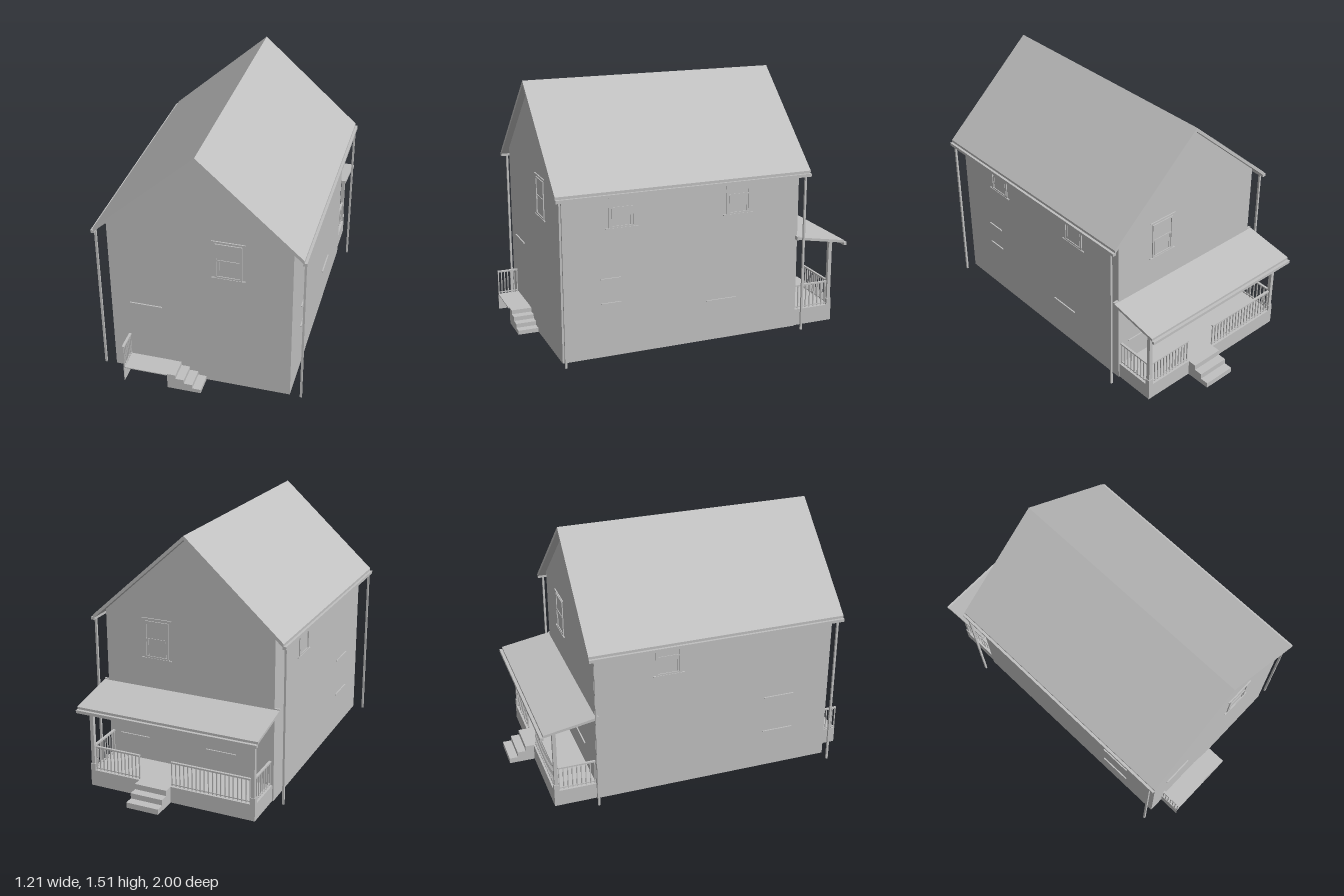
import * as THREE from 'three';

export function createModel() {
  const house = new THREE.Group();
  house.name = 'house';
  const grey = new THREE.MeshStandardMaterial({ color: 0xc0c0c0, side: THREE.DoubleSide });
  grey.name = 'plain grey';

  const add = (parent, name, geo) => {
    const m = new THREE.Mesh(geo, grey);
    m.name = name;
    parent.add(m);
    return m;
  };
  const group = (name, parent = house) => {
    const g = new THREE.Group();
    g.name = name;
    parent.add(g);
    return g;
  };
  // box given by its limits
  const box = (parent, name, x0, x1, y0, y1, z0, z1) => {
    const m = add(parent, name, new THREE.BoxGeometry(x1 - x0, y1 - y0, z1 - z0));
    m.position.set((x0 + x1) / 2, (y0 + y1) / 2, (z0 + z1) / 2);
    return m;
  };
  const shapeOf = pts => new THREE.Shape(pts.map(p => new THREE.Vector2(p[0], p[1])));
  const extrude = (parent, name, pts, z0, z1) => {
    const geo = new THREE.ExtrudeGeometry(shapeOf(pts), { depth: z1 - z0, bevelEnabled: false });
    return add(parent, name, geo.translate(0, 0, z0));
  };
  // four thin walls, open above and below
  const skirt = (name, x0, x1, y0, y1, z0, z1, t) => {
    const g = group(name);
    box(g, 'leftSkirt', x1 - t, x1, y0, y1, z0, z1);
    box(g, 'rightSkirt', x0, x0 + t, y0, y1, z0, z1);
    box(g, 'frontSkirt', x0 + t, x1 - t, y0, y1, z1 - t, z1);
    box(g, 'backSkirt', x0 + t, x1 - t, y0, y1, z0, z0 + t);
  };

  // Walls: foundation, lower storey, upper storey with gables
  const W = 0.527, F = 0.87, B = -0.592;
  skirt('foundation', -W, W, 0, 0.1, B, F, 0.012);
  box(house, 'lowerWalls', -W, W, 0.1, 0.61, B, F);
  extrude(house, 'upperWalls', [[-W, 0.61], [W, 0.61], [W, 1.012], [0, 1.488], [-W, 1.012]], B, F);

  // Main roof, gutters and downspouts
  extrude(house, 'roof', [[-0.59, 0.982], [-0.59, 0.958], [0, 1.49], [0.59, 0.958], [0.59, 0.982], [0, 1.514]], -0.633, 0.907);
  for (const s of [-1, 1]) {
    box(house, 'gutter', s * 0.594 - 0.011, s * 0.594 + 0.011, 0.949, 0.967, -0.633, 0.907);
    for (const z of [F, -0.6]) {
      box(house, 'downspout', s * 0.592 - 0.006, s * 0.592 + 0.006, 0, 0.95, z - 0.006, z + 0.006);
    }
  }

  // Ledges and windows are built facing +z, then turned onto a wall
  const onWall = (g, side, u, y) => {
    if (side === 'front') g.position.set(u, y, F);
    if (side === 'back') { g.position.set(u, y, B); g.rotation.y = Math.PI; }
    if (side === 'left') { g.position.set(W, y, u); g.rotation.y = Math.PI / 2; }
    if (side === 'right') { g.position.set(-W, y, u); g.rotation.y = -Math.PI / 2; }
  };
  const makeWindow = (side, u) => {
    const g = group('window');
    const w = 0.077, y0 = 0, y1 = 0.222;
    box(g, 'glass', -w, w, y0, y1, -0.002, 0.001);
    for (const s of [-1, 1]) {
      box(g, 'jamb', s * (w - 0.006) - 0.006, s * (w - 0.006) + 0.006, y0, y1, 0, 0.006);
      box(g, 'sashStile', s * 0.055 - 0.004, s * 0.055 + 0.004, 0.012, 0.115, 0, 0.004);
    }
    box(g, 'headFrame', -w, w, y1 - 0.01, y1, 0, 0.006);
    box(g, 'bottomFrame', -w, w, y0, y0 + 0.01, 0, 0.006);
    box(g, 'meetingRail', -w, w, 0.11, 0.118, 0, 0.005);
    box(g, 'sill', -0.095, 0.095, -0.006, 0, 0, 0.009);
    box(g, 'lintel', -0.095, 0.095, 0.236, 0.24, 0, 0.007);
    onWall(g, side, u, 0.757);
  };
  [['front', 0.167], ['back', 0.2], ['left', 0.51], ['left', -0.2], ['right', -0.15]]
    .forEach(w => makeWindow(...w));

  const ledge = (side, u, y, width) => {
    const g = group('ledge');
    box(g, 'ledgeBar', -width / 2, width / 2, -0.003, 0.003, 0, 0.008);
    onWall(g, side, u, y);
  };
  [['left', 0.58, 0.32, 0.12], ['left', 0.58, 0.465, 0.12], ['left', -0.1, 0.245, 0.19],
    ['right', 0.55, 0.48, 0.19], ['right', 0.55, 0.245, 0.19], ['front', -0.32, 0.48, 0.19],
    ['back', 0.36, 0.245, 0.19], ['back', -0.2, 0.245, 0.19]].forEach(l => ledge(...l));

  // Hollow stairs going down along local +x
  const stairs = (name, count, run, height, width) => {
    const g = group(name), rise = height / count, pts = [[0, 0]];
    for (let i = 0; i < count; i++) {
      const y = height - i * rise;
      pts.push([i * run, y], [(i + 1) * run, y]);
      box(g, 'tread', i * run, (i + 1) * run, y - 0.004, y, -width / 2, width / 2);
      box(g, 'riser', (i + 1) * run - 0.004, (i + 1) * run, y - rise, y, -width / 2, width / 2);
    }
    pts.push([count * run, 0]);
    for (const s of [-1, 1]) add(g, 'stairSide', new THREE.ShapeGeometry(shapeOf(pts))).position.z = s * width / 2;
    return g;
  };

  // Railing between two floor points
  const railing = (parent, x0, z0, x1, z1, count) => {
    const g = group('railing', parent), len = Math.hypot(x1 - x0, z1 - z0);
    box(g, 'handrail', 0, len, 0.143, 0.152, -0.007, 0.007);
    box(g, 'bottomRail', 0, len, 0.008, 0.014, -0.004, 0.004);
    for (let i = 0; i <= count; i++) {
      const x = 0.004 + (len - 0.008) * i / count;
      box(g, 'baluster', x - 0.003, x + 0.003, 0, 0.145, -0.003, 0.003);
    }
    g.position.set(x0, 0.1, z0);
    g.rotation.y = Math.atan2(-(z1 - z0), x1 - x0);
  };

  // Small front landing, open at the front, with side stairs
  const landing = group('frontLanding');
  box(landing, 'landingFloor', -0.432, -0.17, 0.094, 0.1, F, 1);
  box(landing, 'landingEnd', -0.432, -0.428, 0, 0.1, F, 1);
  railing(landing, -0.427, F + 0.004, -0.427, 1, 6);
  stairs('frontStairs', 4, 0.05, 0.1, 0.122).position.set(-0.17, 0, 0.932);

  // Back porch
  const P = 0.52, E = -0.845;
  const porch = group('backPorch');
  skirt('porchBase', -P, P, 0, 0.1, E, B, 0.012);
  box(porch, 'porchFloor', -P, P, 0.09, 0.1, E, B);
  for (const s of [-1, 1]) {
    const x = s * (P - 0.015);
    box(porch, 'postBase', x - 0.015, x + 0.015, 0.1, 0.14, E, E + 0.03);
    box(porch, 'post', x - 0.011, x + 0.011, 0.14, 0.51, E + 0.004, E + 0.026);
    railing(porch, x, E + 0.03, x, B, 8);
  }
  railing(porch, -P + 0.03, E + 0.015, 0, E + 0.015, 19);
  railing(porch, 0.2, E + 0.015, P - 0.03, E + 0.015, 12);
  box(porch, 'porchBeam', -P, P, 0.495, 0.51, E + 0.004, E + 0.026);
  const backStairs = stairs('backStairs', 3, 0.0517, 0.1, 0.2);
  backStairs.position.set(0.1, 0, E);
  backStairs.rotation.y = Math.PI / 2;

  // Sloping porch roof with its upper batten and gutter
  const roof = extrude(porch, 'porchRoof', [[0.58, 0.572], [0.9, 0.516], [0.9, 0.5], [0.58, 0.556]], -0.557, 0.557);
  roof.rotation.y = Math.PI / 2;
  box(porch, 'roofBatten', -0.557, 0.557, 0.553, 0.576, -0.59, -0.577);
  box(porch, 'porchGutter', -0.557, 0.557, 0.484, 0.502, -0.918, -0.899);

  return house;
}
